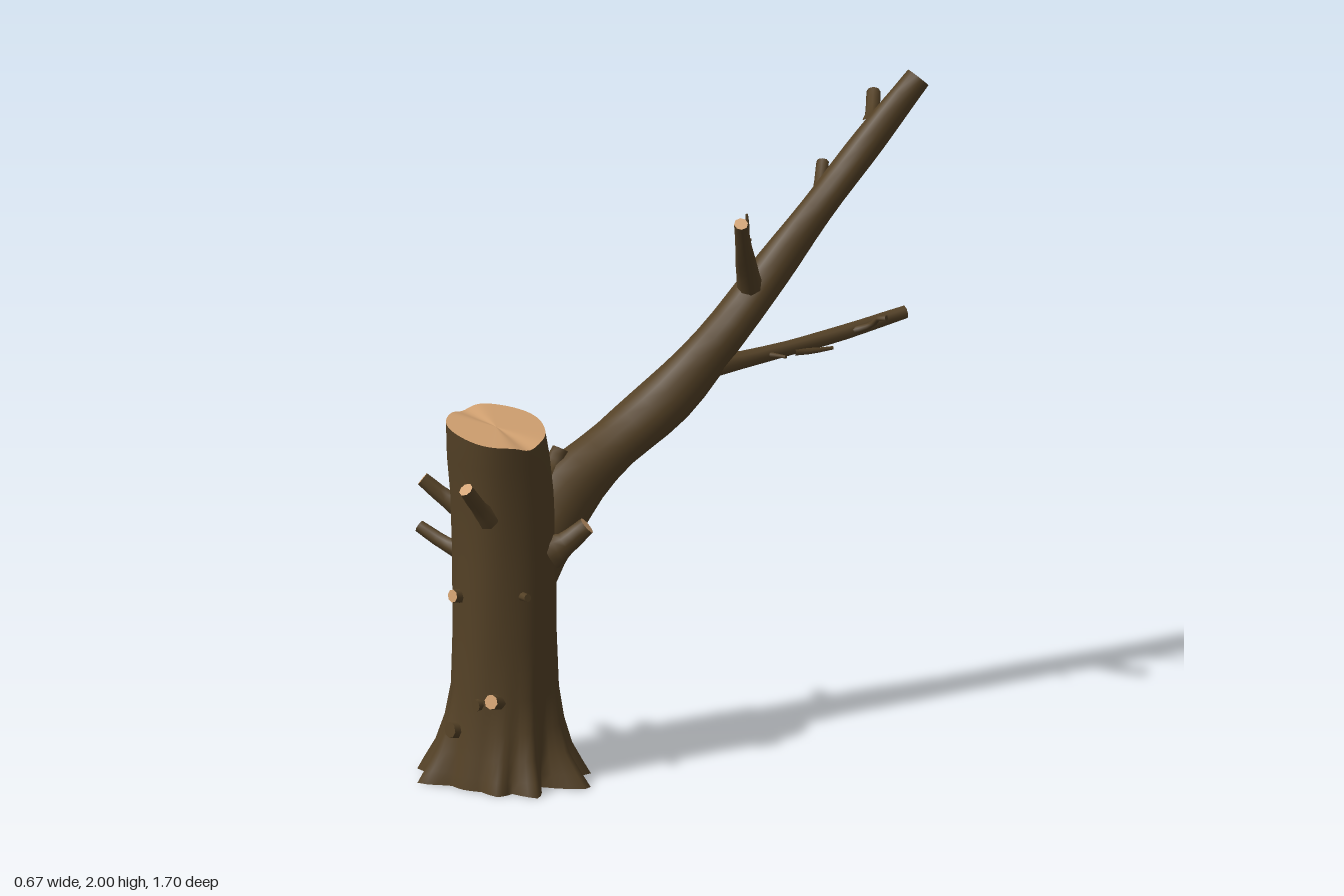
import * as THREE from 'three';

const bark = new THREE.MeshStandardMaterial({ color: 0x54412a });
bark.name = 'bark';
bark.color.set(0x544126);
const cutWood = new THREE.MeshStandardMaterial({ color: 0xd0a070 });
cutWood.name = 'cut wood';

// Skin a list of closed rings (arrays of Vector3, equal length)
function loft(rings) {
  const n = rings[0].length, pos = [], idx = [];
  rings.forEach(ring => ring.forEach(p => pos.push(p.x, p.y, p.z)));
  for (let i = 0; i < rings.length - 1; i++) {
    for (let j = 0; j < n; j++) {
      const a = i * n + j, b = i * n + (j + 1) % n;
      idx.push(a, a + n, b, b, a + n, b + n);
    }
  }
  const g = new THREE.BufferGeometry();
  g.setAttribute('position', new THREE.Float32BufferAttribute(pos, 3));
  g.setIndex(idx);
  g.computeVertexNormals();
  return g;
}

function addMesh(parent, name, geometry, material) {
  const m = new THREE.Mesh(geometry, material);
  m.name = name;
  parent.add(m);
}

// Close a ring with rings shrinking to its middle
function capRings(ring) {
  const mid = new THREE.Vector3();
  ring.forEach(p => mid.addScaledVector(p, 1 / ring.length));
  return [0, 0.5, 0.999].map(t => ring.map(p => p.clone().lerp(mid, t)));
}

// Tapered limb along a path of [x, y, z, radius], with a sawn end
function limb(parent, name, path, { sides = 8, steps = 6, end = cutWood } = {}) {
  const group = new THREE.Group();
  group.name = name;
  const curve = new THREE.CatmullRomCurve3(path.map(p => new THREE.Vector3(p[0], p[1], p[2])));
  const { normals, binormals } = curve.computeFrenetFrames(steps, false);
  const rings = [];
  for (let i = 0; i <= steps; i++) {
    const t = curve.getUtoTmapping(i / steps);
    const c = curve.getPoint(t);
    const k = Math.min(Math.floor(t * (path.length - 1)), path.length - 2);
    const r = THREE.MathUtils.lerp(path[k][3], path[k + 1][3], t * (path.length - 1) - k);
    rings.push(Array.from({ length: sides }, (_, j) => {
      const a = j / sides * Math.PI * 2;
      const rr = r * (1 + 0.05 * Math.sin(2 * a + i * 0.9));
      return c.clone().addScaledVector(normals[i], Math.cos(a) * rr)
        .addScaledVector(binormals[i], -Math.sin(a) * rr);
    }));
  }
  addMesh(group, name + 'Bark', loft(rings), bark);
  addMesh(group, name + 'End', loft(capRings(rings[steps])), end);
  parent.add(group);
}

// Root tips relative to the trunk axis: [x, z]
const roots = [
  [-0.105, 0.23], [-0.25, 0.05], [-0.22, -0.13], [-0.1, -0.21], [0.03, -0.265], [0.17, -0.21],
  [0.285, -0.12], [0.235, 0.06], [0.15, 0.14], [0.03, 0.165], [-0.2, 0.14],
].map(([x, z]) => ({ angle: Math.atan2(z, x), reach: Math.hypot(x, z) }));

function rootReach(a) {
  let best = 0;
  for (const { angle, reach } of roots) {
    const d = Math.abs(Math.atan2(Math.sin(a - angle), Math.cos(a - angle)));
    best = Math.max(best, (reach - 0.165) * Math.max(0, 1 - d / 0.3));
  }
  return best;
}

function buildTrunk(parent) {
  const trunk = new THREE.Group();
  trunk.name = 'trunk';
  // Rows: height, axis z, radius, root strength
  const rows = [
    [0, 0.62, 0.175, 1], [0.04, 0.618, 0.172, 0.78], [0.1, 0.612, 0.167, 0.45], [0.18, 0.605, 0.163, 0.2],
    [0.28, 0.6, 0.159, 0.05], [0.45, 0.598, 0.157, 0], [0.7, 0.598, 0.157, 0], [0.9, 0.607, 0.156, 0],
    [1.02, 0.622, 0.155, 0], [1.115, 0.633, 0.15, 0],
  ];
  const sides = 72;
  const rings = rows.map(([y, cz, r, flare], i) => Array.from({ length: sides }, (_, j) => {
    const a = j / sides * Math.PI * 2;
    const rr = r * (1 + 0.015 * Math.sin(5 * a + y * 3)) + flare * rootReach(a);
    const dx = Math.cos(a) * rr, dz = Math.sin(a) * rr;
    // Slanted, slightly grooved cut at the top
    const slant = i === rows.length - 1 ? -0.17 * dx - 0.015 * Math.exp(-((dz / 0.04) ** 2)) : 0;
    return new THREE.Vector3(-0.075 + dx, y + slant, cz + dz);
  }));
  addMesh(trunk, 'trunkBark', loft(rings), bark);
  addMesh(trunk, 'trunkTopCut', loft(capRings(rings[rings.length - 1])), cutWood);
  addMesh(trunk, 'trunkUnderside', loft(capRings([...rings[0]].reverse())), bark);
  parent.add(trunk);
}

export function createModel() {
  const tree = new THREE.Group();
  tree.name = 'brokenTree';
  buildTrunk(tree);

  // Main leaning branch
  limb(tree, 'mainBranch', [
    [-0.07, 0.56, 0.575, 0.12], [-0.065, 0.74, 0.49, 0.125], [-0.052, 0.865, 0.35, 0.102],
    [-0.03, 0.965, 0.2, 0.084], [0.025, 1.105, 0, 0.08], [0.065, 1.265, -0.17, 0.07],
    [0.095, 1.405, -0.3, 0.06], [0.147, 1.68, -0.56, 0.05], [0.225, 1.97, -0.815, 0.041],
  ], { sides: 14, steps: 28 });

  // Side branches
  limb(tree, 'upperSideBranch', [
    [0.085, 1.38, -0.26, 0.045], [0.125, 1.46, -0.21, 0.033], [0.19, 1.575, -0.135, 0.026], [0.25, 1.68, -0.07, 0.021],
  ], { steps: 9 });
  limb(tree, 'lowerSideBranch', [
    [0.05, 1.165, -0.08, 0.04], [0.105, 1.178, -0.22, 0.027], [0.19, 1.21, -0.5, 0.024], [0.26, 1.25, -0.73, 0.021],
  ], { steps: 10 });

  // Thin twigs on the side branches
  const twigs = [
    [[0.2, 1.59, -0.125, 0.009], [0.215, 1.64, -0.128, 0.007], [0.215, 1.69, -0.125, 0.004]],
    [[0.165, 1.54, -0.16, 0.01], [0.145, 1.555, -0.19, 0.007], [0.125, 1.565, -0.22, 0.005]],
    [[0.125, 1.185, -0.28, 0.009], [0.17, 1.19, -0.287, 0.007], [0.21, 1.195, -0.29, 0.005]],
    [[0.17, 1.185, -0.36, 0.012], [0.19, 1.18, -0.42, 0.009], [0.205, 1.178, -0.485, 0.006]],
    [[0.21, 1.215, -0.55, 0.012], [0.27, 1.245, -0.585, 0.009], [0.305, 1.275, -0.58, 0.008], [0.33, 1.28, -0.59, 0.01]],
  ];
  twigs.forEach((p, i) => limb(tree, 'twig' + (i + 1), p, { sides: 6, steps: 5, end: bark }));

  // Snapped stubs: base, tip, tip radius
  const stubs = [
    [[0.165, 1.825, -0.68], [0.057, 1.89, -0.785], 0.02],
    [[0.12, 1.61, -0.5], [0.027, 1.7, -0.605], 0.018],
    [[-0.05, 0.96, 0.19], [-0.145, 0.872, 0.115], 0.018],
    [[-0.07, 0.91, 0.43], [-0.07, 0.985, 0.375], 0.025],
    [[0.05, 0.72, 0.53], [0.125, 0.805, 0.445], 0.03],
    [[-0.18, 0.835, 0.67], [-0.283, 0.92, 0.745], 0.023],
    [[-0.18, 0.69, 0.66], [-0.33, 0.75, 0.715], 0.019],
    [[-0.01, 0.86, 0.72], [0, 0.975, 0.825], 0.022],
  ];
  stubs.forEach(([b, t, r], i) => {
    const mid = b.map((v, k) => v * 0.55 + t[k] * 0.45 - (k === 1 ? 0.008 : 0));
    limb(tree, 'stub' + (i + 1), [[...b, r * 1.9], [...mid, r * 1.15], [...t, r]], { steps: 5 });
  });

  // Trimmed knots on the trunk: base, tip, radius, end colour
  const knots = [
    [[-0.112, 0.585, 0.72], [-0.115, 0.595, 0.775], 0.021, cutWood],
    [[0.015, 0.27, 0.68], [0.025, 0.285, 0.745], 0.024, cutWood],
    [[-0.025, 0.265, 0.72], [-0.025, 0.265, 0.762], 0.018, bark],
    [[-0.105, 0.165, 0.74], [-0.11, 0.172, 0.79], 0.026, bark],
    [[0.05, 0.61, 0.65], [0.102, 0.618, 0.665], 0.012, bark],
    [[-0.07, 0.53, 0.48], [-0.07, 0.535, 0.425], 0.03, bark],
    [[-0.125, 0.46, 0.5], [-0.15, 0.47, 0.445], 0.027, bark],
    [[-0.17, 0.3, 0.52], [-0.205, 0.305, 0.49], 0.024, bark],
  ];
  knots.forEach(([b, t, r, end], i) =>
    limb(tree, 'knot' + (i + 1), [[...b, r * 1.2], [...t, r]], { steps: 2, end }));

  return tree;
}
